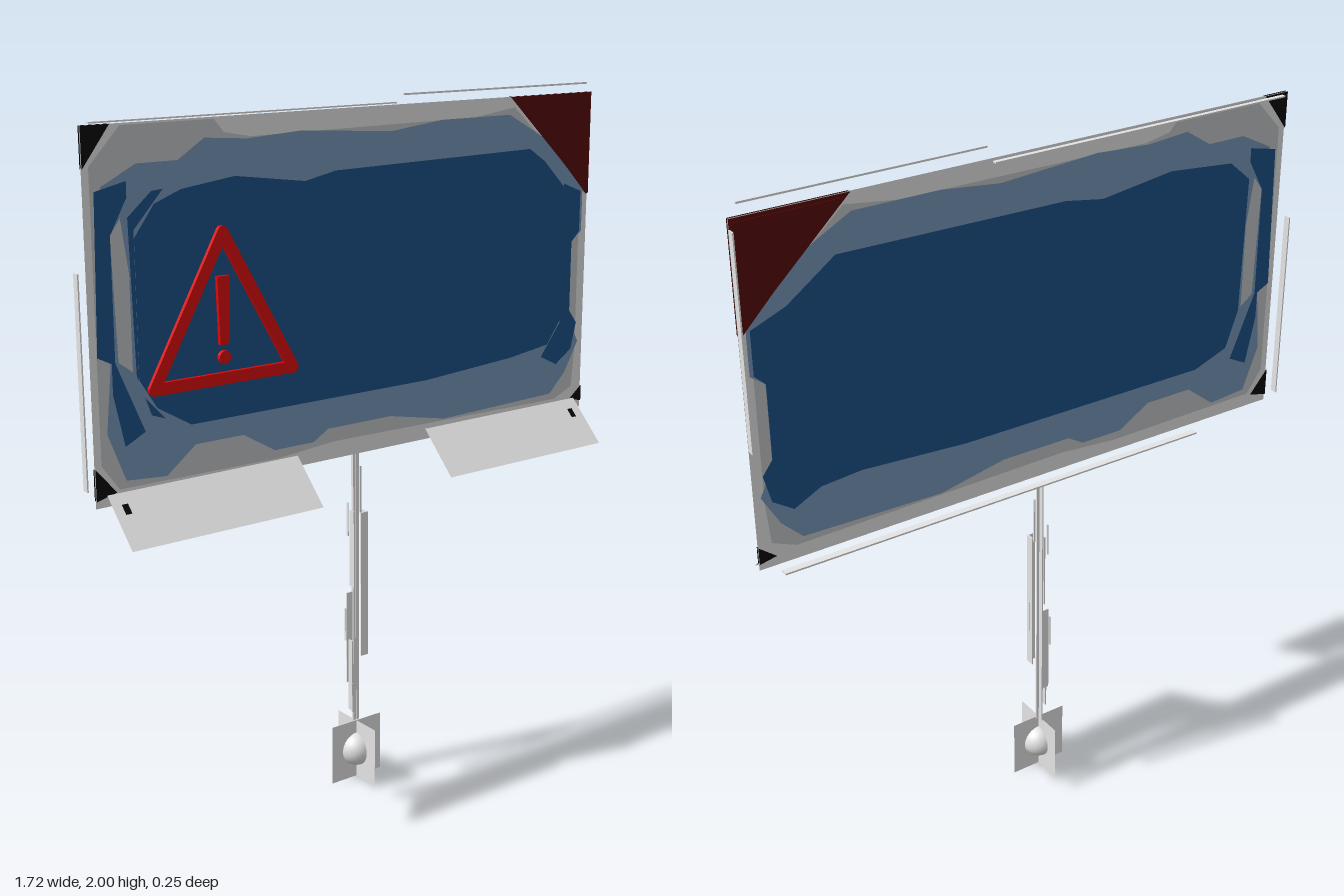
import * as THREE from 'three';

const paint = (name, hex) => {
  const m = new THREE.MeshStandardMaterial({ color: hex, side: THREE.DoubleSide });
  m.name = name;
  return m;
};

export function createModel() {
  const model = new THREE.Group();
  model.name = 'warningBillboard';

  const paleGrey = paint('paleGrey', 0xe4e4e4);
  const midGrey = paint('midGrey', 0xc2c4c6);
  const lightBlue = paint('lightBlue', 0x7797b8);
  const deepBlue = paint('deepBlue', 0x1c5086);
  const maroon = paint('maroon', 0x560708);
  const red = paint('red', 0xdc0a0c);
  const black = paint('black', 0x050505);

  const add = (name, geometry, material, parent = model) => {
    const mesh = new THREE.Mesh(geometry, material);
    mesh.name = name;
    parent.add(mesh);
    return mesh;
  };
  // box given by its limits on each axis
  const bar = (name, x0, x1, y0, y1, z0, z1, parent = model) => {
    const mesh = add(name, new THREE.BoxGeometry(x1 - x0, y1 - y0, z1 - z0), paleGrey, parent);
    mesh.position.set((x0 + x1) / 2, (y0 + y1) / 2, (z0 + z1) / 2);
  };
  const outline = (pts) => new THREE.Shape(pts.map(([x, y]) => new THREE.Vector2(x, y)));
  const sheet = (name, pts, z, material, parent) => {
    add(name, new THREE.ShapeGeometry(outline(pts)), material, parent).position.z = z;
  };

  // Thin display board with worn paint on both faces
  const board = new THREE.Group();
  board.name = 'board';
  model.add(board);
  const Z = -0.018;
  sheet('boardSheet', [[-0.85, 1.01], [0.85, 1.01], [0.85, 1.97], [-0.85, 1.97]], Z, paleGrey, board);

  const greyPatch = [[-0.83, 1.87], [-0.74, 1.965], [-0.47, 1.965], [-0.44, 1.93], [-0.36, 1.915],
    [0.4, 1.92], [0.55, 1.94], [0.82, 1.7], [0.82, 1.2], [0.81, 1.08], [0.74, 1.05],
    [-0.1, 1.06], [-0.28, 1.045], [-0.78, 1.05], [-0.83, 1.12]];
  const lightPatch = [[-0.82, 1.72], [-0.8, 1.82], [-0.7, 1.87], [-0.58, 1.87], [-0.5, 1.92], [-0.37, 1.91],
    [-0.2, 1.92], [0.1, 1.9], [0.28, 1.92], [0.53, 1.92], [0.68, 1.84], [0.83, 1.69], [0.83, 1.56], [0.79, 1.53],
    [0.79, 1.3], [0.83, 1.22], [0.78, 1.13], [0.72, 1.07], [0.3, 1.06], [0.1, 1.1], [-0.12, 1.1], [-0.17, 1.07],
    [-0.3, 1.07], [-0.4, 1.13], [-0.55, 1.13], [-0.64, 1.06], [-0.76, 1.07], [-0.81, 1.2], [-0.79, 1.4]];
  const bluePatch = [[-0.73, 1.74], [-0.66, 1.8], [-0.45, 1.82], [-0.22, 1.79], [-0.1, 1.81], [0.58, 1.82],
    [0.72, 1.72], [0.82, 1.68], [0.82, 1.56], [0.79, 1.53], [0.79, 1.32], [0.82, 1.28], [0.8, 1.2], [0.74, 1.16],
    [0.66, 1.2], [0.54, 1.21], [0.22, 1.19], [-0.57, 1.19], [-0.68, 1.23], [-0.72, 1.34]];
  const blueStreak = [[-0.82, 1.81], [-0.73, 1.83], [-0.73, 1.79], [-0.78, 1.7], [-0.78, 1.38],
    [-0.7, 1.19], [-0.76, 1.16], [-0.79, 1.3], [-0.79, 1.38], [-0.83, 1.4]];
  const paleStreak = [[-0.78, 1.7], [-0.75, 1.74], [-0.73, 1.6], [-0.73, 1.35], [-0.77, 1.38]];
  const corners = [
    ['topRightCorner', [[-0.85, 1.97], [-0.77, 1.97], [-0.85, 1.865]], black],
    ['bottomRightCorner', [[-0.85, 1.115], [-0.79, 1.045], [-0.85, 1.03]], black],
    ['bottomLeftCorner', [[0.85, 1.08], [0.85, 1.03], [0.8, 1.04]], black],
    ['topLeftCorner', [[0.53, 1.97], [0.85, 1.97], [0.85, 1.67]], maroon],
  ];
  for (const side of [1, -1]) {
    const face = new THREE.Group();
    face.name = side > 0 ? 'frontPaint' : 'backPaint';
    board.add(face);
    const layer = (n) => Z + side * n * 0.001;
    sheet('greyWear', greyPatch, layer(1), midGrey, face);
    sheet('lightWear', lightPatch, layer(2), lightBlue, face);
    sheet('paleStreak', paleStreak, layer(3), midGrey, face);
    sheet('blueField', bluePatch, layer(4), deepBlue, face);
    sheet('blueStreak', blueStreak, layer(4), deepBlue, face);
    for (const [name, pts, material] of corners) sheet(name, pts, layer(5), material, face);
  }

  // Eight-sided screen standing just ahead of the board
  sheet('screenRim', [[-0.72, 1.71], [-0.6, 1.84], [0.635, 1.84], [0.74, 1.71],
    [0.74, 1.29], [0.645, 1.167], [-0.6, 1.167], [-0.72, 1.3]], -0.003, lightBlue, board);
  sheet('screen', [[-0.72, 1.69], [-0.66, 1.77], [-0.58, 1.8], [-0.42, 1.82], [-0.2, 1.79], [-0.1, 1.81],
    [0.6, 1.82], [0.66, 1.78], [0.74, 1.7], [0.74, 1.3], [0.69, 1.23], [0.54, 1.21], [0.22, 1.19],
    [-0.57, 1.19], [-0.67, 1.25], [-0.72, 1.33]], -0.002, deepBlue, board);

  // Maroon corner block set through the board
  const flap = add('cornerFlap', new THREE.ExtrudeGeometry(
    outline([[0.56, 1.96], [0.845, 1.96], [0.845, 1.67]]), { depth: 0.014, bevelEnabled: false }), maroon);
  flap.position.z = -0.026;

  // Loose trim strips behind and around the board
  bar('topTrim', -0.81, 0.14, 1.97, 1.974, -0.058, -0.045);
  bar('upperTrim', 0.13, 0.82, 1.995, 2, -0.006, -0.002);
  bar('rightTrim', -0.86, -0.856, 1.05, 1.61, -0.062, -0.042);
  bar('leftTrim', 0.854, 0.858, 1.37, 1.95, -0.058, -0.038);
  bar('bottomTrim', -0.55, 0.8, 1.003, 1.008, -0.066, -0.045);

  // Warning triangle
  const sign = new THREE.Group();
  sign.name = 'warningSign';
  sign.position.set(-0.467, 0, -0.006);
  model.add(sign);
  const r = 0.016, cy = 1.425, k = 0.87;
  const tri = new THREE.Shape();
  tri.absarc(0.215, 1.3, r, -Math.PI / 2, Math.PI / 6, false);
  tri.absarc(0, 1.683, r, Math.PI / 6, Math.PI * 5 / 6, false);
  tri.absarc(-0.215, 1.3, r, Math.PI * 5 / 6, Math.PI * 1.5, false);
  tri.closePath();
  const hole = [[-0.215, 1.3], [0, 1.683], [0.215, 1.3]]
    .map(([x, y]) => new THREE.Vector2(x * k, cy + (y - cy) * k));
  tri.holes.push(new THREE.Path(hole));
  const slab = { depth: 0.015, bevelEnabled: false, curveSegments: 8 };
  add('triangleFrame', new THREE.ExtrudeGeometry(tri, slab), red, sign);
  add('markStroke', new THREE.ExtrudeGeometry(
    outline([[-0.02, 1.57], [0.018, 1.57], [0.014, 1.39], [-0.015, 1.39]]), slab), red, sign);
  const dot = new THREE.Shape();
  dot.absarc(-0.001, 1.356, 0.018, 0, Math.PI * 2);
  add('markDot', new THREE.ExtrudeGeometry(dot, slab), red, sign);

  // Sloping plates below the board, with a small dark bolt seen on both faces
  for (const [name, x0, x1, bolt] of [['rightLedge', -0.83, -0.24, -0.795], ['leftLedge', 0.21, 0.8, 0.76]]) {
    const ledge = new THREE.Group();
    ledge.name = name;
    ledge.position.set(0, 0.99, 0.065);
    ledge.rotation.x = -Math.PI / 4;
    model.add(ledge);
    add('plate', new THREE.PlaneGeometry(x1 - x0, 0.167), paleGrey, ledge).position.x = (x0 + x1) / 2;
    for (const z of [0.002, -0.002]) {
      add('bolt', new THREE.PlaneGeometry(0.018, 0.03), black, ledge).position.set(bolt, 0.034, z);
    }
  }

  // Post made of a core and overlapping splinters
  const post = new THREE.Group();
  post.name = 'post';
  model.add(post);
  const strips = [
    [-0.014, 0.006, 0.18, 1.005, -0.047, -0.042], [-0.006, -0.002, 0.18, 1.005, -0.062, -0.04],
    [-0.003, 0.022, 0.39, 0.83, -0.024, -0.02], [0.018, 0.022, 0.39, 0.83, -0.046, -0.02],
    [-0.026, -0.005, 0.3, 0.58, -0.062, -0.058], [-0.03, -0.026, 0.22, 0.44, -0.046, -0.028],
    [-0.014, -0.01, 0.6, 0.83, -0.06, -0.04], [0.014, 0.019, 0.82, 0.96, -0.052, -0.046],
    [-0.032, -0.029, 0.76, 0.86, -0.05, -0.044], [0.033, 0.036, 0.52, 0.62, -0.05, -0.044],
    [-0.041, -0.038, 0.44, 0.54, -0.05, -0.044], [-0.036, -0.032, 0.22, 0.31, -0.024, -0.02],
  ];
  strips.forEach((s, i) => bar(i < 2 ? 'postCore' : 'postSplinter', ...s, post));

  // Crossed foot plates around a ball
  const foot = new THREE.Group();
  foot.name = 'foot';
  foot.position.set(-0.008, 0.09, -0.037);
  model.add(foot);
  for (const turn of [0, Math.PI / 2]) {
    add('footPlate', new THREE.PlaneGeometry(0.178, 0.18), paleGrey, foot).rotation.y = turn;
  }
  add('footBall', new THREE.SphereGeometry(0.05, 24, 16), paleGrey, foot);

  return model;
}
